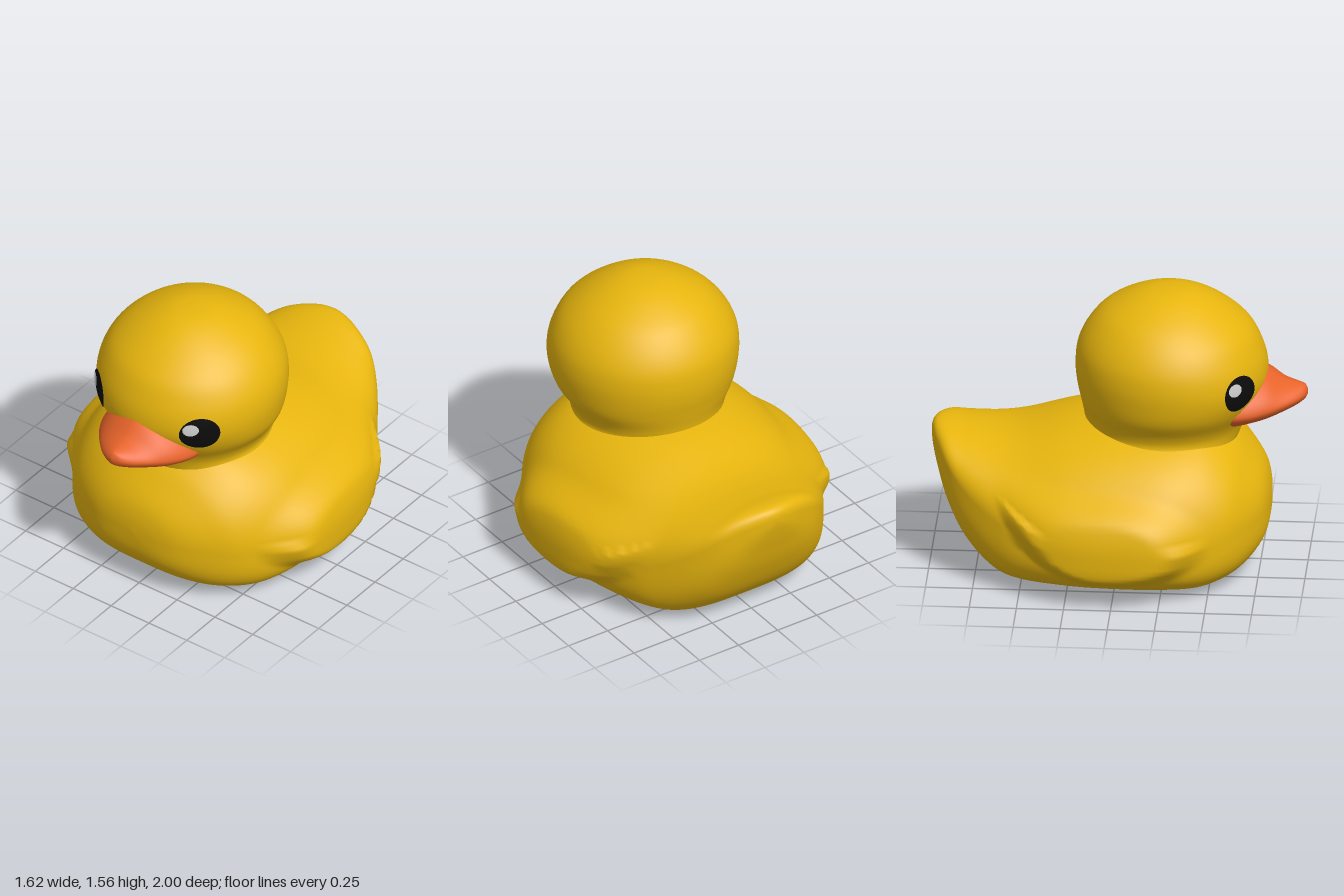
import * as THREE from 'three';
import { mergeVertices } from 'three/addons/utils/BufferGeometryUtils.js';

const material = (name, color) => {
  const m = new THREE.MeshStandardMaterial({ color });
  m.name = name;
  return m;
};

// Smoothly interpolates rows of numbers; t runs from 0 to rows.length - 1
function sampleRows(rows, t) {
  const i = Math.min(Math.floor(t), rows.length - 2);
  const f = t - i;
  const a = rows[Math.max(i - 1, 0)], b = rows[i], c = rows[i + 1];
  const d = rows[Math.min(i + 2, rows.length - 1)];
  return b.map((_, k) => b[k] + 0.5 * f * (c[k] - a[k] +
    f * (2 * a[k] - 5 * b[k] + 4 * c[k] - d[k] + f * (3 * (b[k] - c[k]) + d[k] - a[k]))));
}

// Closed smooth surface from a rule (u, v) -> [x, y, z]
function surface(rule, nu, nv) {
  const g = new THREE.PlaneGeometry(1, 1, nu, nv);
  const p = g.attributes.position;
  for (let i = 0; i < p.count; i++) p.setXYZ(i, ...rule(p.getX(i) + 0.5, p.getY(i) + 0.5));
  g.deleteAttribute('uv');
  g.deleteAttribute('normal');
  const welded = mergeVertices(g, 1e-4);
  welded.computeVertexNormals();
  return welded;
}

// Cross-sections along z: [z, bottom, top, half width, height of widest point]
function loftPoint(rows, u, v, nTop, nBottom) {
  const [z, bottom, top, w, yc] = sampleRows(rows, v * (rows.length - 1));
  const c = Math.cos(u * 2 * Math.PI), s = Math.sin(u * 2 * Math.PI);
  const e = 2 / (s > 0 ? nTop : nBottom);
  const x = Math.max(w, 0) * Math.sign(c) * Math.abs(c) ** e;
  const rise = Math.abs(s) ** e;
  return [x, s > 0 ? yc + (top - yc) * rise : yc - (yc - bottom) * rise, z];
}

const bodyRows = [
  [-1.0, 0.70, 0.72, 0, 0.71], [-0.99, 0.64, 0.755, 0.08, 0.70],
  [-0.96, 0.53, 0.775, 0.18, 0.68], [-0.9, 0.36, 0.775, 0.31, 0.62],
  [-0.8, 0.18, 0.76, 0.42, 0.52], [-0.65, 0.04, 0.75, 0.53, 0.42],
  [-0.5, 0, 0.765, 0.61, 0.36], [-0.25, 0, 0.83, 0.69, 0.32],
  [0, 0, 0.87, 0.72, 0.31], [0.25, 0, 0.88, 0.715, 0.31],
  [0.45, 0, 0.86, 0.65, 0.31], [0.6, 0.04, 0.77, 0.55, 0.34],
  [0.7, 0.1, 0.66, 0.42, 0.36], [0.77, 0.18, 0.56, 0.28, 0.37],
  [0.8, 0.26, 0.47, 0.15, 0.37], [0.81, 0.37, 0.38, 0, 0.375],
];

// Body, with a wing swelling out of each side and sweeping up to a rear tip
function bodyPoint(u, v) {
  const [x, y, z] = loftPoint(bodyRows, u, v, 2.05, 3.4);
  const wu = (z + 0.05) / 0.59;
  const wv = (y - 0.36 - (wu < 0 ? 0.2 * wu * wu : 0)) / 0.27;
  const inside = 1 - Math.hypot(wu, wv);
  const swell = 0.085 * THREE.MathUtils.smoothstep(inside, 0, wv > 0 ? 0.55 : 0.35);
  return [x + Math.sign(x) * swell, Math.max(y, 0), z];
}

// Head and neck rings: [y, back z, front z, half width]
const headRows = [
  [0.70, -0.24, 0.62, 0.47], [0.78, -0.19, 0.65, 0.41], [0.85, -0.19, 0.68, 0.42],
  [0.95, -0.21, 0.74, 0.48], [1.05, -0.23, 0.785, 0.505], [1.15, -0.235, 0.785, 0.51],
  [1.25, -0.22, 0.755, 0.49], [1.35, -0.17, 0.70, 0.435], [1.44, -0.09, 0.60, 0.345],
  [1.51, 0.03, 0.49, 0.225], [1.55, 0.15, 0.38, 0.11], [1.56, 0.265, 0.265, 0],
];
function headPoint(angle, t) {
  const [y, back, front, w] = sampleRows(headRows, t);
  return [w * Math.sin(angle), y, (front + back) / 2 + (front - back) / 2 * Math.cos(angle)];
}

const beakRows = [
  [0.55, 0.80, 1.12, 0.30, 0.93], [0.63, 0.81, 1.13, 0.295, 0.93],
  [0.71, 0.83, 1.135, 0.275, 0.935], [0.79, 0.85, 1.11, 0.235, 0.945],
  [0.87, 0.88, 1.05, 0.175, 0.955], [0.94, 0.91, 1.03, 0.11, 0.965],
  [0.98, 0.935, 1.02, 0.06, 0.975], [0.995, 0.955, 1.0, 0.025, 0.98],
  [1.0, 0.975, 0.985, 0, 0.98],
];

// Thin oval lying on the head, lifted slightly off its surface
function headOval(angle, y, halfAngle, halfHeight, lift) {
  const g = new THREE.RingGeometry(0, 1, 40, 6);
  const p = g.attributes.position;
  for (let i = 0; i < p.count; i++) {
    const a = angle + p.getX(i) * halfAngle;
    const t = 3 + (y + p.getY(i) * halfHeight - 0.95) / 0.1;
    const [px, py, pz] = headPoint(a, t);
    p.setXYZ(i, px + Math.sin(a) * lift, py, pz + Math.cos(a) * lift);
  }
  g.computeVertexNormals();
  return g;
}

export function createModel() {
  const yellow = material('yellow', 0xe8b60e);
  const orange = material('orange', 0xe8642a);
  const black = material('black', 0x0c0c0c);
  const white = material('eye highlight', 0xd0d0d0);

  const duck = new THREE.Group();
  duck.name = 'bathDuck';
  const add = (name, geometry, mat) => {
    const mesh = new THREE.Mesh(geometry, mat);
    mesh.name = name;
    duck.add(mesh);
  };

  add('bodyWithWings', surface(bodyPoint, 128, 120), yellow);
  add('head', surface((u, v) =>
    headPoint((u * 2 - 1) * Math.PI, v * (headRows.length - 1)), 72, 66), yellow);
  add('beak', surface((u, v) => loftPoint(beakRows, u, v, 1.6, 1.8), 48, 40), orange);

  // Eyes mirror each other; both highlights sit toward the same side
  for (const [side, sign, glint] of [['left', 1, 0.62], ['right', -1, -0.8]]) {
    add(side + 'Eye', headOval(sign * 0.717, 1.095, 0.215, 0.1, 0.006), black);
    add(side + 'EyeHighlight', headOval(glint, 1.127, 0.085, 0.036, 0.01), white);
  }
  return duck;
}
